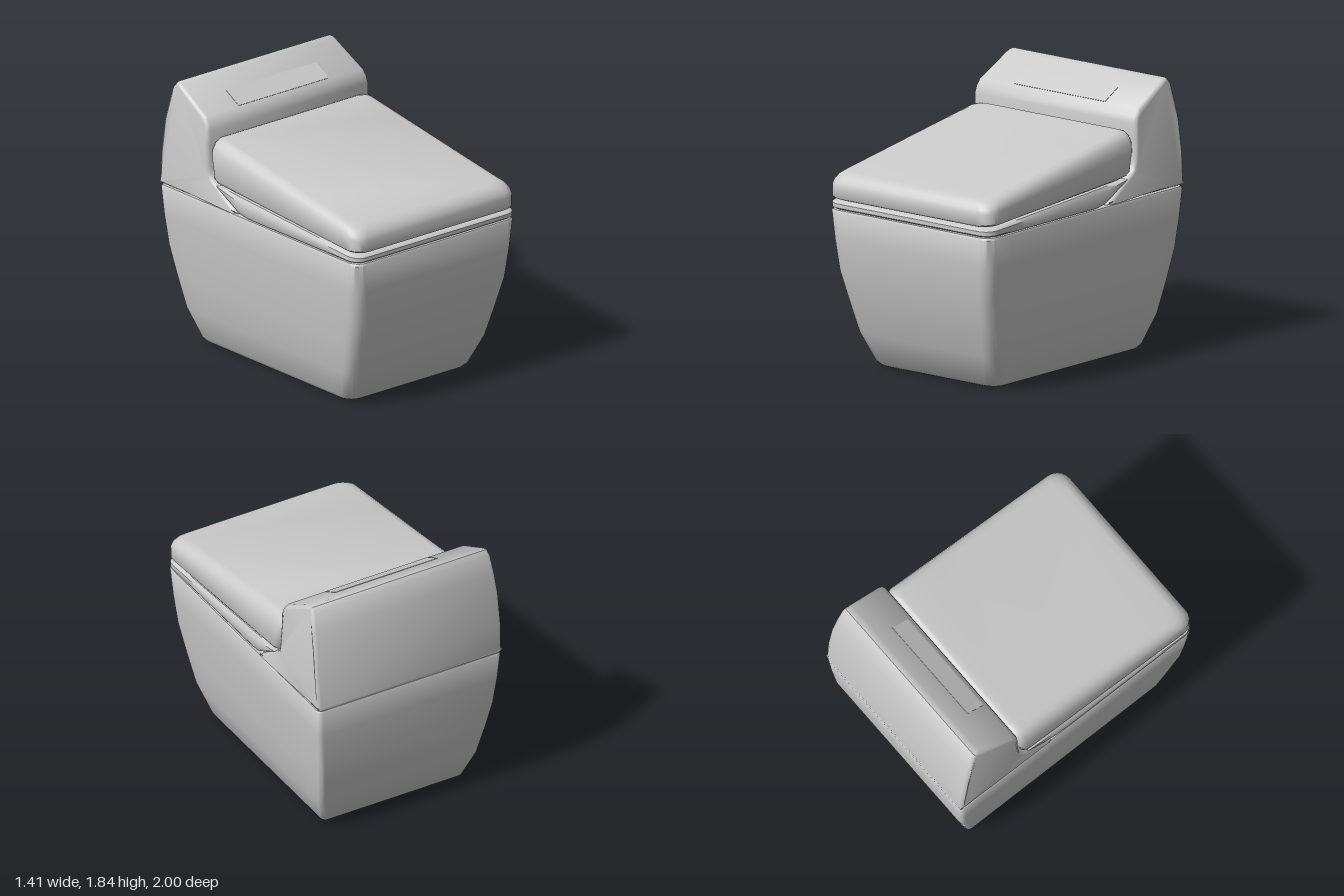
import * as THREE from 'three';
import { toCreasedNormals } from 'three/addons/utils/BufferGeometryUtils.js';

const material = new THREE.MeshStandardMaterial({ color: 0xcccccc });

// Linear lookup in a list of [key, value] with rising keys
function lookup(table, k) {
  if (k <= table[0][0]) return table[0][1];
  for (let i = 1; i < table.length; i++) {
    const [k0, v0] = table[i - 1], [k1, v1] = table[i];
    if (k <= k1) return v0 + (v1 - v0) * (k - k0) / (k1 - k0);
  }
  return table[table.length - 1][1];
}

// Skin closed rings stacked along an axis ('x' or 'y') and cap both ends
function loft(name, rings, axis, crease) {
  const n = rings[0].length, index = [];
  const points = rings.flat();
  for (let i = 0; i < rings.length - 1; i++) {
    for (let j = 0; j < n; j++) {
      const a = i * n + j, b = i * n + (j + 1) % n;
      index.push(a, a + n, b + n, a, b + n, b);
    }
  }
  const flat = p => axis === 'y' ? new THREE.Vector2(p.x, p.z) : new THREE.Vector2(p.z, p.y);
  for (const [ring, start, sign] of [[rings[0], 0, -1], [rings[rings.length - 1], points.length - n, 1]]) {
    for (const [a, b, c] of THREE.ShapeUtils.triangulateShape(ring.map(flat), [])) {
      const normal = ring[b].clone().sub(ring[a]).cross(ring[c].clone().sub(ring[a]));
      if (normal[axis] * sign > 0) index.push(start + a, start + b, start + c);
      else index.push(start + a, start + c, start + b);
    }
  }
  const geometry = new THREE.BufferGeometry().setFromPoints(points);
  geometry.setIndex(index);
  const mesh = new THREE.Mesh(toCreasedNormals(geometry, crease), material);
  mesh.name = name;
  return mesh;
}

// Rounded rectangle seen from above; height is a function of z
function ring(halfX, front, back, rFront, rBack, height) {
  const out = [], corners = 5, sides = 14;
  const add = (x, z) => out.push(new THREE.Vector3(x, height(z), z));
  const corner = (sx, sz, from) => {
    const r = sz > 0 ? rFront : rBack;
    const cz = sz > 0 ? front - r : back + r;
    for (let i = 0; i <= corners; i++) {
      const a = from + i / corners * Math.PI / 2;
      add(sx * (halfX - r) + r * Math.cos(a), cz + r * Math.sin(a));
    }
  };
  const side = (x, z0, z1) => {
    for (let i = 1; i < sides; i++) add(x, z0 + (z1 - z0) * i / sides);
  };
  corner(1, 1, 0);
  corner(-1, 1, Math.PI / 2);
  side(-halfX, front - rFront, back + rBack);
  corner(-1, -1, Math.PI);
  corner(1, -1, Math.PI * 1.5);
  side(halfX, back + rBack, front - rFront);
  return out;
}

// Tapered base: [y, half width, front z, back z]
function makeBowl() {
  const levels = [
    [0, 0.49, 0.69, -0.73], [0.012, 0.515, 0.715, -0.75], [0.04, 0.535, 0.745, -0.78],
    [0.24, 0.6, 0.835, -0.86], [0.46, 0.635, 0.9, -0.915], [0.67, 0.665, 0.96, -0.962],
    [0.88, 0.687, 0.983, -0.984], [1.075, 0.7, 1, -1], [1.09, 0.692, 0.992, -0.994],
  ];
  return loft('bowl', levels.map(([y, w, f, b]) => ring(w, f, b, 0.09, 0.035, () => y)), 'y', 0.75);
}

// Body whose levels blend between a lower and an upper height curve:
// [blend, half width, front z, back z]
function makeSlab(name, low, high, levels, rFront, rBack) {
  return loft(name, levels.map(([t, w, f, b]) =>
    ring(w, f, b, rFront, rBack, z => low(z) + (high(z) - low(z)) * t)), 'y', 0.8);
}

function makeSeat() {
  const underside = [[-0.45, 1.255], [-0.42, 1.235], [-0.25, 1.13], [-0.2, 1.108], [-0.14, 1.096], [1, 1.096]];
  return makeSlab('seat', z => lookup(underside, z), z => 1.146 + (1 - z) * 0.066, [
    [0, 0.685, 0.985, -0.41], [0.2, 0.698, 0.998, -0.43], [0.75, 0.698, 0.998, -0.44], [1, 0.68, 0.98, -0.44],
  ], 0.09, 0.03);
}

function makeLid() {
  return makeSlab('lid', z => 1.157 + (1 - z) * 0.064, z => 1.333 + (0.93 - z) * 0.158, [
    [0, 0.67, 0.975, -0.41], [0.05, 0.69, 0.992, -0.455], [0.12, 0.7, 1, -0.475],
    [0.55, 0.7, 1, -0.5], [0.72, 0.693, 0.992, -0.505], [0.87, 0.675, 0.972, -0.5],
    [0.96, 0.65, 0.95, -0.487], [1, 0.615, 0.92, -0.465],
  ], 0.1, 0.06);
}

// Rear housing: side profile [z, y] swept across the width
function makeTank() {
  const profile = [
    [-0.23, 1.096], [-0.235, 1.11], [-0.26, 1.13], [-0.46, 1.27], [-0.485, 1.295], [-0.497, 1.34],
    [-0.507, 1.5], [-0.507, 1.6], [-0.52, 1.645], [-0.55, 1.688], [-0.81, 1.83], [-0.835, 1.842],
    [-0.86, 1.843], [-0.89, 1.805], [-0.925, 1.68], [-0.957, 1.54], [-0.985, 1.32], [-1, 1.12], [-0.998, 1.096],
  ];
  const halfWidth = [[1.096, 0.7], [1.35, 0.707], [1.6, 0.7], [1.8, 0.683], [1.845, 0.675]];
  const n = profile.length;
  // inset moves the outline inward to round the two end edges
  const section = (s, inset) => profile.map(([z, y], i) => {
    const [z0, y0] = profile[(i + n - 1) % n], [z1, y1] = profile[(i + 1) % n];
    const dz = z1 - z0, dy = y1 - y0, len = Math.hypot(dz, dy);
    return new THREE.Vector3(s * lookup(halfWidth, y), y + inset * dz / len, z - inset * dy / len);
  });
  const stations = [[-1, 0.022], [-0.99, 0.008], [-0.965, 0], [0.965, 0], [0.99, 0.008], [1, 0.022]];
  return loft('tank', stations.map(([s, inset]) => section(s, inset)), 'x', 0.75);
}

// Control panel lying on the sloping front of the tank
function makePanel() {
  const panel = new THREE.Mesh(new THREE.BoxGeometry(0.78, 0.012, 0.15), material);
  panel.name = 'controlPanel';
  panel.position.set(0, 1.725, -0.625);
  panel.rotation.x = Math.atan2(0.142, 0.26);
  return panel;
}

export function createModel() {
  const model = new THREE.Group();
  model.name = 'toilet';
  model.add(makeBowl(), makeSeat(), makeLid(), makeTank(), makePanel());
  return model;
}
